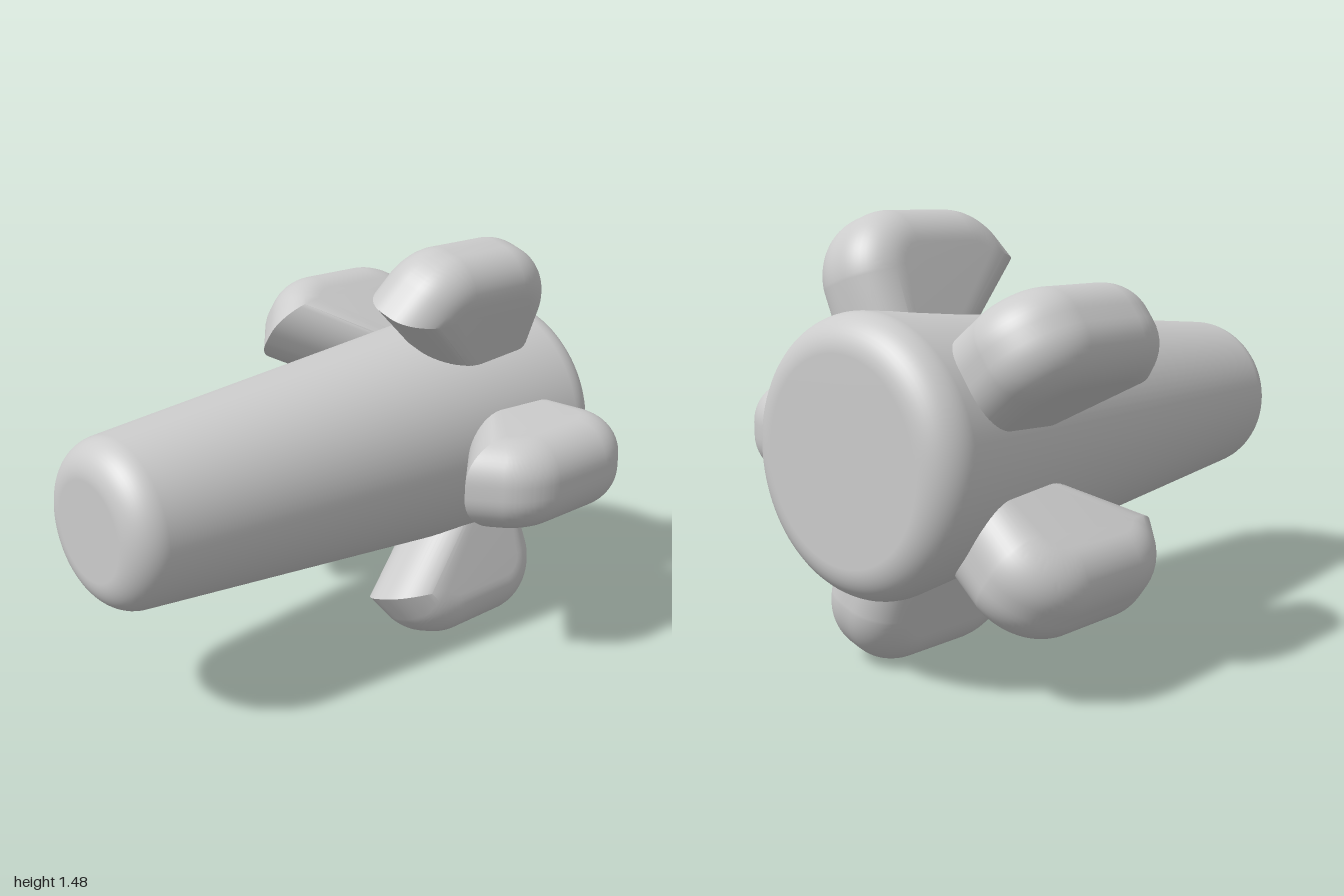
import * as THREE from 'three';
import { toCreasedNormals } from 'three/addons/utils/BufferGeometryUtils.js';

const material = new THREE.MeshStandardMaterial({ color: 0xcccccc });

// Tapered round body: two rounded ends joined by a straight flank
function bodyGeometry() {
  const fillet = 0.12, steps = 12, rear = 0.169, front = 0.325, c = 0.88;
  const tilt = Math.atan((front - rear) / (2 * c));
  const points = [new THREE.Vector2(0, -1)];
  const arc = (radius, y, from, to) => {
    for (let i = 0; i <= steps; i++) {
      const a = from + (to - from) * i / steps;
      points.push(new THREE.Vector2(radius + fillet * Math.cos(a), y + fillet * Math.sin(a)));
    }
  };
  arc(rear, -c, -Math.PI / 2, -tilt);
  arc(front, c, -tilt, Math.PI / 2);
  points.push(new THREE.Vector2(0, 1));
  return new THREE.LatheGeometry(points, 96).rotateZ(-Math.PI / 2);
}

// Fin: core outline (x along the body, y outward) swollen by a round bevel
function finGeometry() {
  const bevel = 0.14, depth = 0.045;
  const slant = Math.PI / 2 + Math.atan(1.4);
  const shape = new THREE.Shape();
  shape.moveTo(0.018, 0.19);
  shape.absarc(0.379, 0.523, 0.1, slant, Math.PI / 2, true);
  shape.absarc(0.62, 0.543, 0.08, Math.PI / 2, 0, true);
  shape.lineTo(0.7, 0.19);
  const geometry = new THREE.ExtrudeGeometry(shape, {
    depth, bevelEnabled: true, bevelSize: bevel, bevelThickness: bevel,
    bevelSegments: 12, curveSegments: 14,
  });
  geometry.translate(0, 0, -depth / 2);
  return toCreasedNormals(geometry, 0.6);
}

export function createModel() {
  const group = new THREE.Group();
  group.name = 'finnedBody';

  const body = new THREE.Mesh(bodyGeometry(), material);
  body.name = 'body';
  group.add(body);

  // Five fins evenly spaced round the body, the first pointing forward
  const fin = finGeometry();
  for (let i = 0; i < 5; i++) {
    const mesh = new THREE.Mesh(fin, material);
    mesh.name = `fin${i + 1}`;
    mesh.rotation.x = Math.PI / 2 + i * Math.PI * 2 / 5;
    group.add(mesh);
  }

  group.position.set(0, 0.74, -0.053);
  const model = new THREE.Group();
  model.name = 'model';
  model.add(group);
  return model;
}
